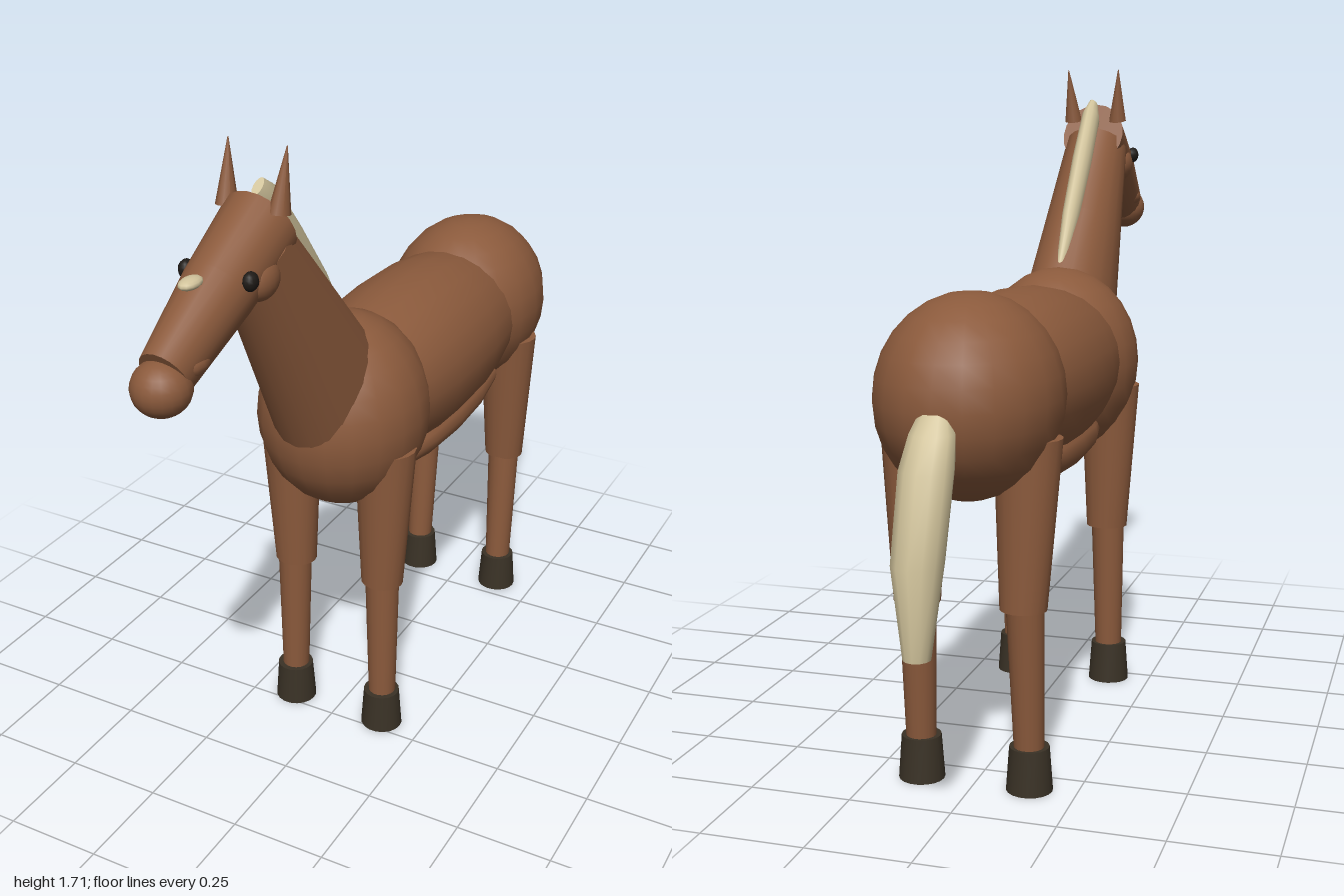
import * as THREE from 'three';

const mat = (name, color) => Object.assign(new THREE.MeshStandardMaterial({ color }), { name });

// Tapered tube with parallel elliptical rings, capped flat at both ends.
// tilt = [ty, tz] direction the rings face; stations = [x, y, z, widthRadius, depthRadius]
function loft(tilt, stations, sides = 18) {
  const len = Math.hypot(...tilt);
  const dy = tilt[1] / len, dz = -tilt[0] / len;
  const pos = [], idx = [];
  const ring = ([x, y, z, rx, rd]) => {
    for (let j = 0; j < sides; j++) {
      const a = (j / sides) * Math.PI * 2, s = Math.sin(a) * rd;
      pos.push(x + Math.cos(a) * rx, y + dy * s, z + dz * s);
    }
  };
  stations.forEach(ring);
  for (let i = 0; i < stations.length - 1; i++) {
    for (let j = 0; j < sides; j++) {
      const k = (j + 1) % sides, a = i * sides, b = a + sides;
      idx.push(a + j, a + k, b + k, a + j, b + k, b + j);
    }
  }
  [stations[0], stations[stations.length - 1]].forEach((st, end) => {
    const start = pos.length / 3;
    ring(st);
    pos.push(st[0], st[1], st[2]);
    for (let j = 0; j < sides; j++) {
      const p = start + j, q = start + ((j + 1) % sides);
      idx.push(start + sides, end ? p : q, end ? q : p);
    }
  });
  const g = new THREE.BufferGeometry();
  g.setAttribute('position', new THREE.Float32BufferAttribute(pos, 3));
  g.setIndex(idx);
  g.computeVertexNormals();
  return g;
}

const ellipsoid = (x, y, z, rx, ry, rz, w = 20, h = 14) =>
  new THREE.SphereGeometry(1, w, h).scale(rx, ry, rz).translate(x, y, z);

export function createModel() {
  const coat = mat('chestnutCoat', 0x8b5a3c);
  const hair = mat('creamHair', 0xd2c49c);
  const horn = mat('darkHoof', 0x3a3226);
  const black = mat('eyeBlack', 0x1e1a16);

  const model = new THREE.Group();
  model.name = 'horse';
  const add = (name, geometry, material) => {
    const mesh = new THREE.Mesh(geometry, material);
    mesh.name = name;
    model.add(mesh);
  };

  // Body
  add('chest', ellipsoid(0, 0.915, 0.16, 0.218, 0.255, 0.235), coat);
  add('rump', ellipsoid(0, 0.94, -0.59, 0.218, 0.24, 0.262), coat);
  add('barrel', loft([0, -1], [
    [0, 0.93, 0.14, 0.18, 0.17], [0, 0.93, 0.04, 0.2, 0.195], [0, 0.93, -0.08, 0.214, 0.214],
    [0, 0.93, -0.2, 0.217, 0.22], [0, 0.93, -0.32, 0.214, 0.216], [0, 0.93, -0.44, 0.2, 0.2],
    [0, 0.93, -0.54, 0.18, 0.17],
  ], 24), coat);
  add('belly', loft([0, -1], [
    [0, 0.75, 0.1, 0.09, 0.03], [0, 0.75, 0.07, 0.14, 0.062], [0, 0.755, -0.05, 0.165, 0.084],
    [0, 0.755, -0.2, 0.172, 0.09], [0, 0.755, -0.35, 0.165, 0.084], [0, 0.755, -0.5, 0.14, 0.065],
  ], 24), coat);

  // Neck and head
  add('neck', loft([0.46, 0.3125], [
    [0, 1.01, 0.255, 0.13, 0.178], [0, 1.25, 0.415, 0.108, 0.138], [0, 1.49, 0.575, 0.087, 0.097],
  ], 20), coat);
  add('head', loft([-0.205, 0.385], [
    [0, 1.525, 0.53, 0.088, 0.098], [0, 1.43, 0.71, 0.08, 0.088], [0, 1.32, 0.915, 0.058, 0.068],
  ], 20), coat);
  add('muzzle', ellipsoid(0, 1.298, 0.928, 0.066, 0.063, 0.067), coat);
  add('jaw', ellipsoid(0, 1.335, 0.865, 0.067, 0.04, 0.075).rotateX(0), coat);
  add('blaze', ellipsoid(0, 1.484, 0.805, 0.022, 0.013, 0.036, 12, 8), hair);

  for (const s of [1, -1]) {
    const side = s > 0 ? 'left' : 'right';
    add(`${side}Cheek`, ellipsoid(s * 0.058, 1.44, 0.628, 0.036, 0.048, 0.058), coat);
    add(`${side}Eye`, ellipsoid(s * 0.08, 1.465, 0.703, 0.017, 0.022, 0.022, 12, 8), black);
    add(`${side}Ear`, loft([0.97, -0.22], [
      [s * 0.066, 1.565, 0.558, 0.025, 0.029], [s * 0.074, 1.71, 0.53, 0.001, 0.001],
    ], 10), coat);
  }

  // Mane along the back of the neck
  add('mane', loft([-0.455, -0.35], [
    [0, 1.61, 0.535, 0.012, 0.025], [0, 1.575, 0.505, 0.024, 0.04], [0, 1.45, 0.405, 0.027, 0.04],
    [0, 1.3, 0.285, 0.024, 0.033], [0, 1.16, 0.175, 0.012, 0.015],
  ], 12), hair);

  // Tail
  add('tail', loft([-1, 0], [
    [0, 0.945, -0.82, 0.035, 0.028], [0, 0.9, -0.84, 0.052, 0.05], [0, 0.83, -0.878, 0.061, 0.063],
    [0, 0.64, -0.938, 0.058, 0.061], [0, 0.435, -0.949, 0.031, 0.032],
  ], 12), hair);

  // Legs: z centres at thigh top, thigh bottom, shin top, ankle and hoof
  const legs = {
    Front: [0.197, 0.2, 0.203, 0.208, 0.211],
    Hind: [-0.585, -0.604, -0.598, -0.576, -0.575],
  };
  for (const [end, [top, knee, shin, ankle, foot]] of Object.entries(legs)) {
    for (const s of [1, -1]) {
      const name = (s > 0 ? 'left' : 'right') + end;
      const x = s * 0.135;
      add(`${name}UpperLeg`, loft([1, 0], [
        [s * 0.13, 0.45, knee, 0.056, 0.051], [s * 0.137, 0.85, top, 0.081, 0.073],
      ]), coat);
      add(`${name}LowerLeg`, loft([1, 0], [
        [x, 0.09, ankle, 0.036, 0.036], [s * 0.132, 0.46, shin, 0.045, 0.045],
      ]), coat);
      add(`${name}Hoof`, loft([1, 0], [
        [x, 0, foot, 0.056, 0.054], [x, 0.108, foot, 0.048, 0.047],
      ]), horn);
    }
  }
  return model;
}
